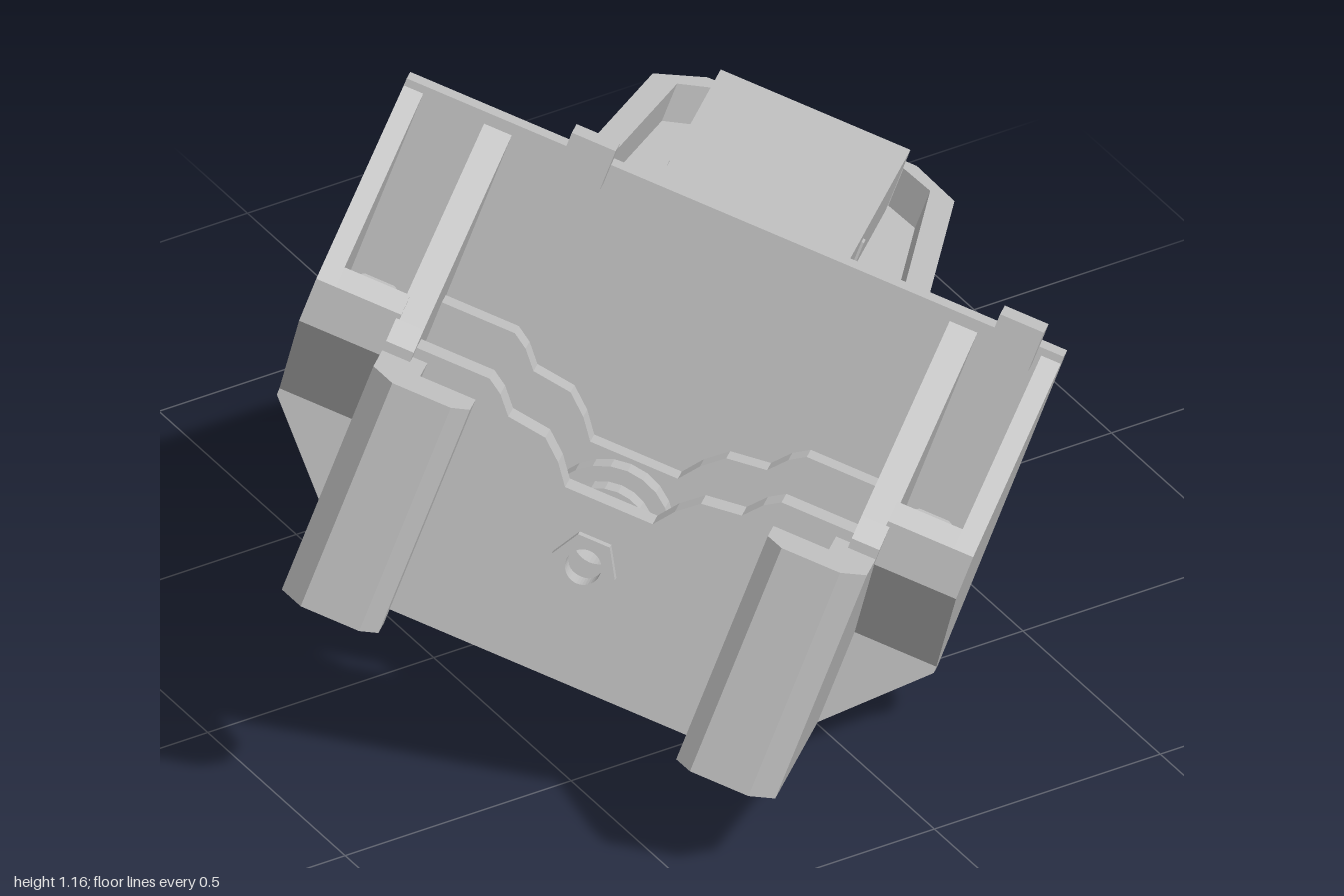
import * as THREE from 'three';

export function createModel() {
  const grey = new THREE.MeshStandardMaterial({ color: 0xc0c0c0 });
  grey.name = 'grey plastic';
  grey.flatShading = true;

  const model = new THREE.Group();
  const bracket = new THREE.Group();
  bracket.name = 'bracket';
  model.add(bracket);
  const arm = new THREE.Group();
  arm.name = 'arm';
  arm.position.x = 0.012;
  bracket.add(arm);
  let parent = bracket;

  const add = (name, geometry) => {
    const mesh = new THREE.Mesh(geometry, grey);
    mesh.name = name;
    parent.add(mesh);
    return mesh;
  };
  const box = (name, x0, x1, y0, y1, z0, z1) =>
    add(name, new THREE.BoxGeometry(x1 - x0, y1 - y0, z1 - z0)
      .translate((x0 + x1) / 2, (y0 + y1) / 2, (z0 + z1) / 2));
  const extrude = (points, depth, holes = []) => {
    const shape = new THREE.Shape(points.map(p => new THREE.Vector2(...p)));
    for (const [x, y, r] of holes) {
      const path = new THREE.Path();
      path.absarc(x, y, r, 0, Math.PI * 2, true);
      shape.holes.push(path);
    }
    return new THREE.ExtrudeGeometry(shape, { depth, bevelEnabled: false, curveSegments: 20 });
  };
  // Outline in (x, y), thickness along z
  const facing = (name, pts, z0, z1, holes) =>
    add(name, extrude(pts, z1 - z0, holes).translate(0, 0, z0));
  // Outline in (distance back, y), thickness along x
  const sideways = (name, pts, x0, x1) =>
    add(name, extrude(pts, x1 - x0).rotateY(Math.PI / 2).translate(x0, 0, 0));
  // Outline in (x, distance back), thickness along y
  const plan = (name, pts, y0, y1) =>
    add(name, extrude(pts, y1 - y0).rotateX(-Math.PI / 2).translate(0, y0, 0));
  // Tube with its axis along z
  const tube = (name, x, y, z0, z1, outer, inner, sides = 24) => {
    const ring = Array.from({ length: sides }, (_, i) => {
      const a = i / sides * Math.PI * 2;
      return [x + outer * Math.cos(a), y + outer * Math.sin(a)];
    });
    return facing(name, ring, z0, z1, [[x, y, inner]]);
  };
  // Mirrored span and mirrored outline on side s
  const span = (s, a, b) => (s > 0 ? [a, b] : [-b, -a]);
  const mirror = (s, pts) => pts.map(([x, l]) => [x * s, l]);

  // Back plate with clipped lower corners
  facing('backPlate', [[-0.507, 0.02], [0.507, 0.02], [0.675, 0.2], [0.675, 0.88], [-0.675, 0.88], [-0.675, 0.2]],
    0.385, 0.43, [[0, 0.254, 0.05], [0.575, 0.33, 0.03], [-0.575, 0.33, 0.03]]);

  // Front and inner walls with a wavy notch in the top edge
  const notched = [[-0.46, 0.02], [0.46, 0.02], [0.46, 0.52], [0.3, 0.52], [0.27, 0.5], [0.24, 0.465], [0.16, 0.455],
    [0.12, 0.42], [0.09, 0.38], [-0.09, 0.38], [-0.12, 0.42], [-0.16, 0.455], [-0.24, 0.465], [-0.27, 0.5],
    [-0.3, 0.52], [-0.46, 0.52]];
  facing('frontWall', notched, 0.755, 0.815, [[0, 0.254, 0.045]]);
  facing('innerWall', notched, 0.45, 0.5, [[0, 0.254, 0.05]]);

  // Central screw boss and nuts
  tube('screwBoss', 0, 0.254, 0.3, 0.64, 0.1, 0.05);
  tube('bossCollar', 0, 0.254, 0.54, 0.59, 0.13, 0.06);
  tube('rearBoss', 0, 0.254, 0.28, 0.39, 0.12, 0.05);
  tube('frontNut', 0, 0.254, 0.79, 0.835, 0.065, 0.035, 6);
  tube('rearNut', 0, 0.254, 0.265, 0.32, 0.075, 0.035, 6);

  for (const s of [-1, 1]) {
    // Side wall of the body
    sideways('sideWall', [[-0.85, 0.02], [-0.4, 0.02], [-0.4, 0.88], [-0.82, 0.56], [-0.85, 0.52]],
      ...span(s, 0.45, 0.507));

    // Hooked front leg with chamfered corners
    plan('frontLeg', mirror(s, [[0.507, -0.8], [0.507, -0.96], [0.46, -1.01], [0.34, -1.01], [0.306, -0.975],
      [0.306, -0.905], [0.42, -0.905], [0.42, -0.8]]), 0.02, 0.5);

    // Open wedge pocket beside the body
    sideways('pocketOuterWall', [[-0.82, 0.48], [-0.41, 0.2], [-0.41, 0.88], [-0.82, 0.57]], ...span(s, 0.635, 0.675));
    sideways('pocketFloor', [[-0.82, 0.48], [-0.41, 0.2], [-0.41, 0.24], [-0.78, 0.5]], ...span(s, 0.5, 0.64));
    sideways('pocketLip', [[-0.82, 0.48], [-0.78, 0.48], [-0.78, 0.6], [-0.82, 0.57]], ...span(s, 0.5, 0.675));
    box('pocketLedge', ...span(s, 0.5, 0.64), 0.47, 0.51, 0.6, 0.79);
    const nut = tube('pocketNut', 0, 0, 0, 0.05, 0.06, 0.033, 6);
    nut.rotation.x = -Math.PI / 2;
    nut.position.set(s * 0.57, 0.505, 0.68);

    // Slide pad on the rear of the plate
    const [a, b] = span(s, 0.53, 0.66);
    facing('rearPad', [[a, 0.19], [b, 0.19], [b, 0.57], [a, 0.57]], 0.355, 0.39, [[s * 0.575, 0.33, 0.03]]);
  }

  // Tabs on the plate's top edge
  for (const x of [-0.3, 0.58]) box('topTab', x - 0.045, x + 0.045, 0.84, 0.925, 0.42, 0.48);

  // Tapered arm: half width at a distance back
  parent = arm;
  const half = l => (l < 0.1
    ? 0.458 - (l + 0.42) / 0.52 * 0.083
    : 0.375 - (l - 0.1) / 0.85 * 0.065);
  const wallSections = [
    [[-0.42, 0.45], [0.1, 0.45], [0.1, 0.63], [0.03, 0.65], [-0.41, 0.88]],
    [[0.1, 0.45], [0.95, 0.45], [0.95, 0.63], [0.1, 0.63]],
  ];

  for (const s of [-1, 1]) {
    for (const pts of wallSections) {
      const wall = sideways('armWall', pts, ...span(s, -0.05, 0));
      const p = wall.geometry.attributes.position;
      for (let i = 0; i < p.count; i++) p.setX(i, p.getX(i) + s * half(-p.getZ(i)));
      wall.geometry.computeVertexNormals();
    }

    // Curved rib from the plate down to the raised panel
    sideways('upperRib', [[-0.41, 0.52], [0.125, 0.52], [0.125, 0.67], [0.04, 0.68], [-0.41, 0.88]],
      ...span(s, 0.17, 0.2));

    // Long fin under the arm
    sideways('lowerFin', [[-0.4, 0.07], [0.66, 0.45], [0.66, 0.52], [-0.4, 0.52]], ...span(s, 0.19, 0.22));

    // Triangular gussets between fin and wall
    for (const l of [-0.12, 0.16, 0.42]) {
      const low = 0.09 + 0.355 * (l + 0.4);
      const pts = [[s * 0.21, low], [s * (half(l) - 0.03), 0.5], [s * 0.21, 0.5]];
      facing('gusset', pts, -l - 0.012, -l + 0.012);
    }

    // Small post near the plate
    add('post', new THREE.CylinderGeometry(0.03, 0.03, 0.19, 16).translate(s * 0.34, 0.475, 0.25));

    // Floor strip around the hollow panel, and the panel's side
    plan('floorEdge', mirror(s, [[0.165, 0.125], [0.345, 0.125], [0.29, 0.95], [0.2, 1.03], [0, 1.03],
      [0, 0.95], [0.165, 0.95]]), 0.5, 0.55);
    box('panelSide', ...span(s, 0.165, 0.195), 0.5, 0.66, -0.98, -0.125);
  }

  // Ribs under the floor and under the hollow panel, with a socket
  box('crossRib', -0.2, 0.2, 0.39, 0.52, 0.088, 0.112);
  for (const l of [0.2, 0.45]) box('crossRib', -0.2, 0.2, 0.4 + l * 0.1, 0.65, -l - 0.012, -l + 0.012);
  const socket = tube('socket', 0, 0, 0, 0.23, 0.045, 0.025);
  socket.rotation.x = -Math.PI / 2;
  socket.position.set(0, 0.41, -0.6);

  // Arm floor, raised panel and chamfered tip
  plan('armFloor', [[-0.43, -0.41], [0.43, -0.41], [0.345, 0.13], [-0.345, 0.13]], 0.5, 0.55);
  box('raisedPanel', -0.195, 0.195, 0.64, 0.68, -0.98, -0.125);
  for (const z of [-0.98, -0.155]) box('panelEnd', -0.17, 0.17, 0.5, 0.65, z, z + 0.03);
  box('panelStep', -0.17, 0.17, 0.54, 0.64, -0.105, -0.08);
  plan('armTip', [[0.31, 0.95], [0.215, 1.058], [-0.215, 1.058], [-0.31, 0.95], [-0.26, 0.95],
    [-0.195, 1.013], [0.195, 1.013], [0.26, 0.95]], 0.45, 0.63);

  // Tilt and turn the whole bracket
  bracket.rotation.set(0, -43.2 * Math.PI / 180, -25 * Math.PI / 180, 'ZYX');
  bracket.position.set(-0.083, 0.037, -0.075);
  return model;
}
